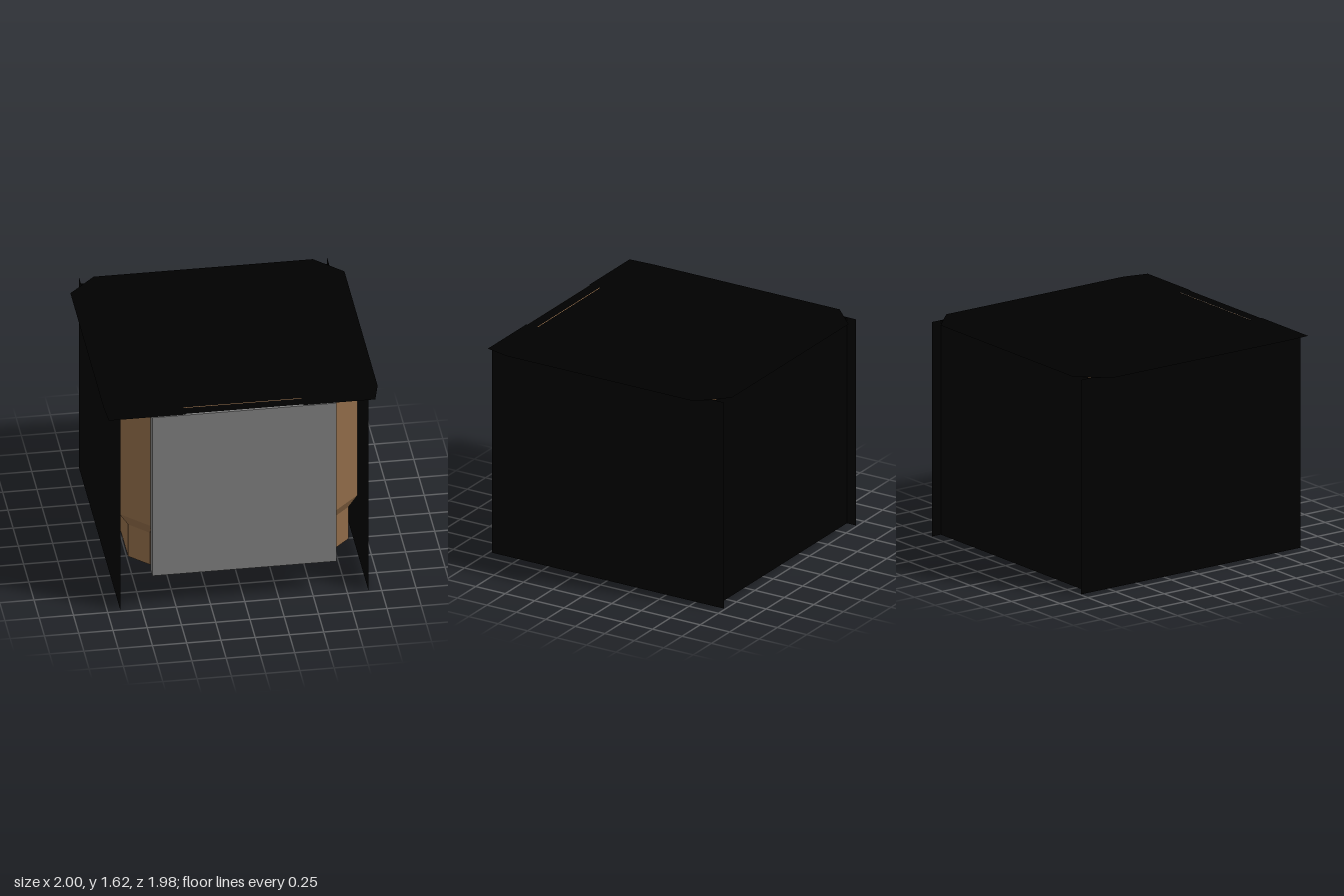
import * as THREE from 'three';

const BLACK = 0x000000, GREY = 0x808080, WOOD = 0x8f6b48, DARK = 0x3a3a3a;

function mat(color, double = false) {
  return new THREE.MeshStandardMaterial({
    color, flatShading: true, side: double ? THREE.DoubleSide : THREE.FrontSide,
  });
}

// Eight-sided outline with chamfered corners, as [x, z] pairs
function octagon(hx, hz, cut) {
  return [
    [hx - cut, hz], [hx, hz - cut], [hx, cut - hz], [hx - cut, -hz],
    [cut - hx, -hz], [-hx, cut - hz], [-hx, hz - cut], [cut - hx, hz],
  ];
}

// Flat shape in the x-z plane at height y
function flatPlate(points, y, slit) {
  const toV = ([x, z]) => new THREE.Vector2(x, z);
  const shape = new THREE.Shape(points.map(toV));
  if (slit) shape.holes.push(new THREE.Path(slit.map(toV)));
  return new THREE.ShapeGeometry(shape).rotateX(Math.PI / 2).translate(0, y, 0);
}

// Side walls joining stacked outlines
function loft(levels) {
  const pos = [];
  for (let k = 0; k < levels.length - 1; k++) {
    const [a, b] = [levels[k], levels[k + 1]];
    for (let i = 0; i < 8; i++) {
      const j = (i + 1) % 8;
      const p = (l, n) => [l.ring[n][0], l.y, l.ring[n][1]];
      pos.push(...p(a, i), ...p(a, j), ...p(b, j), ...p(a, i), ...p(b, j), ...p(b, i));
    }
  }
  const g = new THREE.BufferGeometry();
  g.setAttribute('position', new THREE.Float32BufferAttribute(pos, 3));
  g.computeVertexNormals();
  return g;
}

export function createModel() {
  const model = new THREE.Group();
  const add = (name, geometry, material) => {
    const mesh = new THREE.Mesh(geometry, material);
    mesh.name = name;
    model.add(mesh);
    return mesh;
  };
  const H = 1.615;

  // Thin outer walls
  for (const s of [-1, 1]) {
    const wall = new THREE.PlaneGeometry(1.97, H).rotateY(Math.PI / 2);
    add(s > 0 ? 'leftWall' : 'rightWall', wall.translate(s * 0.905, H / 2, -0.005), mat(BLACK, true));
  }
  add('backWall', new THREE.PlaneGeometry(1.81, H).translate(0, H / 2, -0.91), mat(BLACK, true));

  // Overhanging top sheet with a narrow slit near the front
  const outline = [
    [-0.8, -0.99], [0.8, -0.99], [1, -0.79], [1, 0.8], [0.955, 0.985], [0.43, 0.985],
    [0.43, 0.975], [-0.43, 0.975], [-0.43, 0.985], [-0.99, 0.985], [-1, 0.8], [-1, -0.79],
  ];
  const slit = [[-0.43, 0.887], [0.43, 0.887], [0.43, 0.894], [-0.43, 0.894]];
  add('topSheet', flatPlate(outline, H, slit), mat(BLACK, true));

  // Chamfered inner body, stepping in near the bottom
  const foot = octagon(0.805, 0.83, 0.14);
  const upper = octagon(0.87, 0.9, 0.2);
  add('body', loft([
    { y: 0.27, ring: foot }, { y: 0.54, ring: foot },
    { y: 0.64, ring: upper }, { y: 1.61, ring: upper },
  ]), mat(WOOD));
  add('bodyTop', flatPlate(upper, 1.61), mat(WOOD, true));
  add('bodyBottom', flatPlate(foot, 0.27), mat(GREY, true));

  // Dark pads along the edges of the underside
  for (let i = 0; i < 4; i++) {
    const edge = i % 2 ? 0.805 : 0.83;
    const pad = [[-0.43, edge], [0.43, edge], [0.39, edge - 0.06], [-0.39, edge - 0.06]];
    add('bottomPad', flatPlate(pad, 0.265), mat(DARK, true)).rotation.y = i * Math.PI / 2;
  }

  // Front panel
  add('frontPanel', new THREE.BoxGeometry(1.345, 1.34, 0.083).translate(0, 0.94, 0.9435), mat(GREY));

  return model;
}
